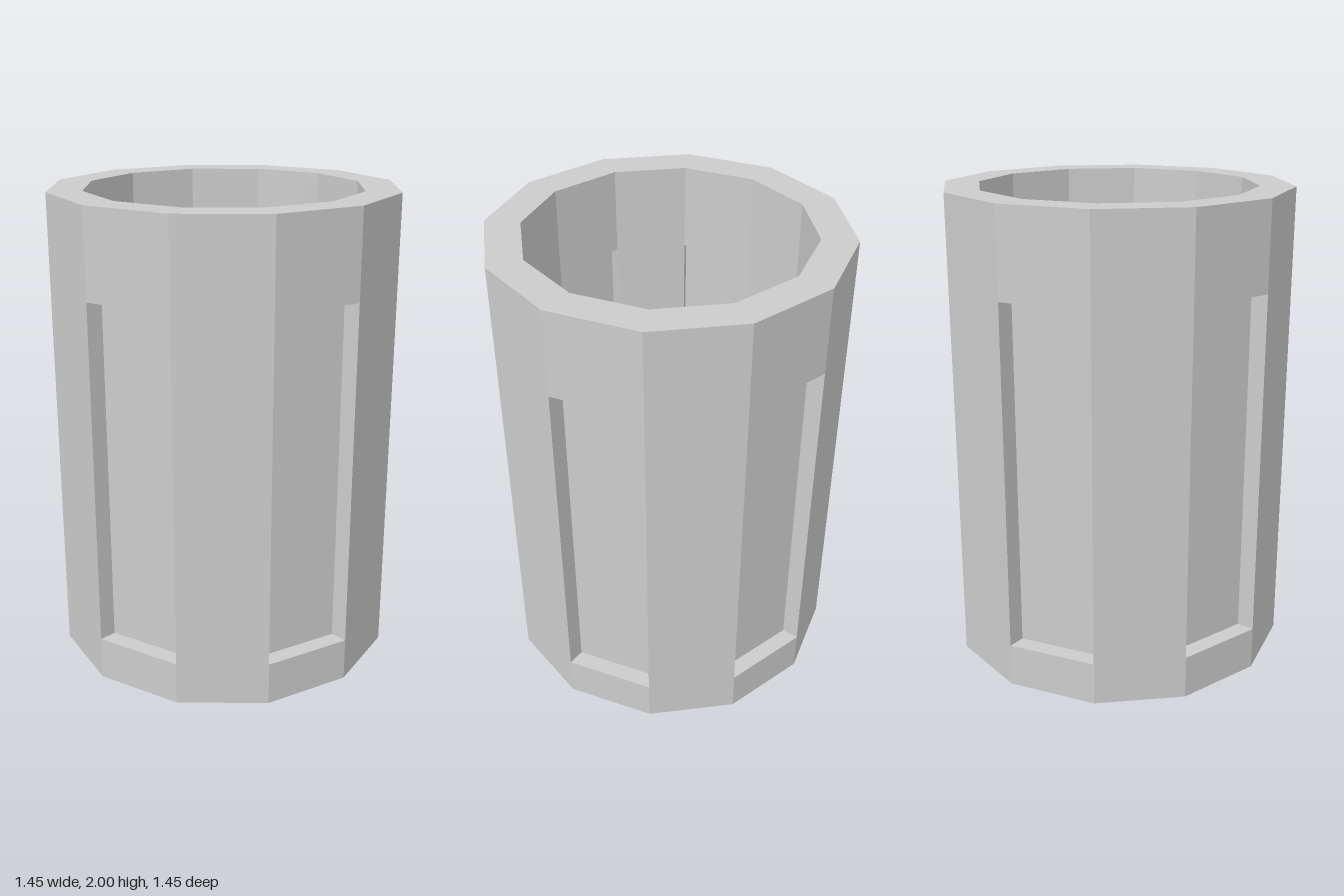
import * as THREE from 'three';
import { mergeGeometries } from 'three/addons/utils/BufferGeometryUtils.js';

const SIDES = 12, STEP = Math.PI * 2 / SIDES;
const OUTER = 0.727, PANE = 0.9 * OUTER, INNER = 0.8 * OUTER;
const SILL = 0.182, HEAD = 1.636, TOP = 2;

const material = new THREE.MeshStandardMaterial({ color: 0xcccccc, flatShading: true });
const paneMaterial = material.clone();
paneMaterial.side = THREE.DoubleSide;

// Corner k of the twelve-sided ring
const corner = (k, r, y) => [r * Math.cos(k * STEP), y, r * Math.sin(k * STEP)];

// Flat four-cornered face, corners counter-clockwise from its front
function quad(a, b, c, d) {
  const g = new THREE.BufferGeometry();
  g.setAttribute('position', new THREE.Float32BufferAttribute([a, b, c, a, c, d].flat(), 3));
  g.computeVertexNormals();
  return g;
}

const outward = (k, r, y0, y1) =>
  quad(corner(k + 1, r, y0), corner(k, r, y0), corner(k, r, y1), corner(k + 1, r, y1));
const inward = (k, r, y0, y1) =>
  quad(corner(k, r, y0), corner(k + 1, r, y0), corner(k + 1, r, y1), corner(k, r, y1));
const upward = (k, r0, r1, y) =>
  quad(corner(k, r1, y), corner(k, r0, y), corner(k + 1, r0, y), corner(k + 1, r1, y));
const downward = (k, r0, r1, y) =>
  quad(corner(k + 1, r1, y), corner(k + 1, r0, y), corner(k, r0, y), corner(k, r1, y));

// Radial side of a pillar, facing towards higher corner numbers unless flipped
function radial(k, flipped) {
  const c = [corner(k, INNER, SILL), corner(k, OUTER, SILL), corner(k, OUTER, HEAD), corner(k, INNER, HEAD)];
  return quad(...(flipped ? c.reverse() : c));
}

function disc(r, y, up) {
  const g = new THREE.CircleGeometry(r, SIDES).rotateX(up ? -Math.PI / 2 : Math.PI / 2).translate(0, y, 0);
  const flat = g.toNonIndexed();
  flat.deleteAttribute('uv');
  return flat;
}

function part(name, pieces, mat = material) {
  const mesh = new THREE.Mesh(mergeGeometries(pieces), mat);
  mesh.name = name;
  return mesh;
}

export function createModel() {
  const group = new THREE.Group();
  group.name = 'panelledContainer';
  const base = [disc(OUTER, 0, false), disc(INNER, SILL, true)];
  const rim = [];

  for (let k = 0; k < SIDES; k++) {
    base.push(outward(k, OUTER, 0, SILL));
    rim.push(outward(k, OUTER, HEAD, TOP), inward(k, INNER, HEAD, TOP), upward(k, INNER, OUTER, TOP));

    if (k % 2 === 0) {
      // Solid pillar
      group.add(part('pillar', [
        outward(k, OUTER, SILL, HEAD), inward(k, INNER, SILL, HEAD),
        radial(k, true), radial(k + 1, false),
      ]));
    } else {
      // Opening with a thin pane set halfway through the wall
      base.push(upward(k, INNER, OUTER, SILL));
      rim.push(downward(k, INNER, OUTER, HEAD));
      group.add(part('recessedPane', [outward(k, PANE, SILL, HEAD)], paneMaterial));
    }
  }

  group.add(part('base', base), part('topRim', rim));
  return group;
}
